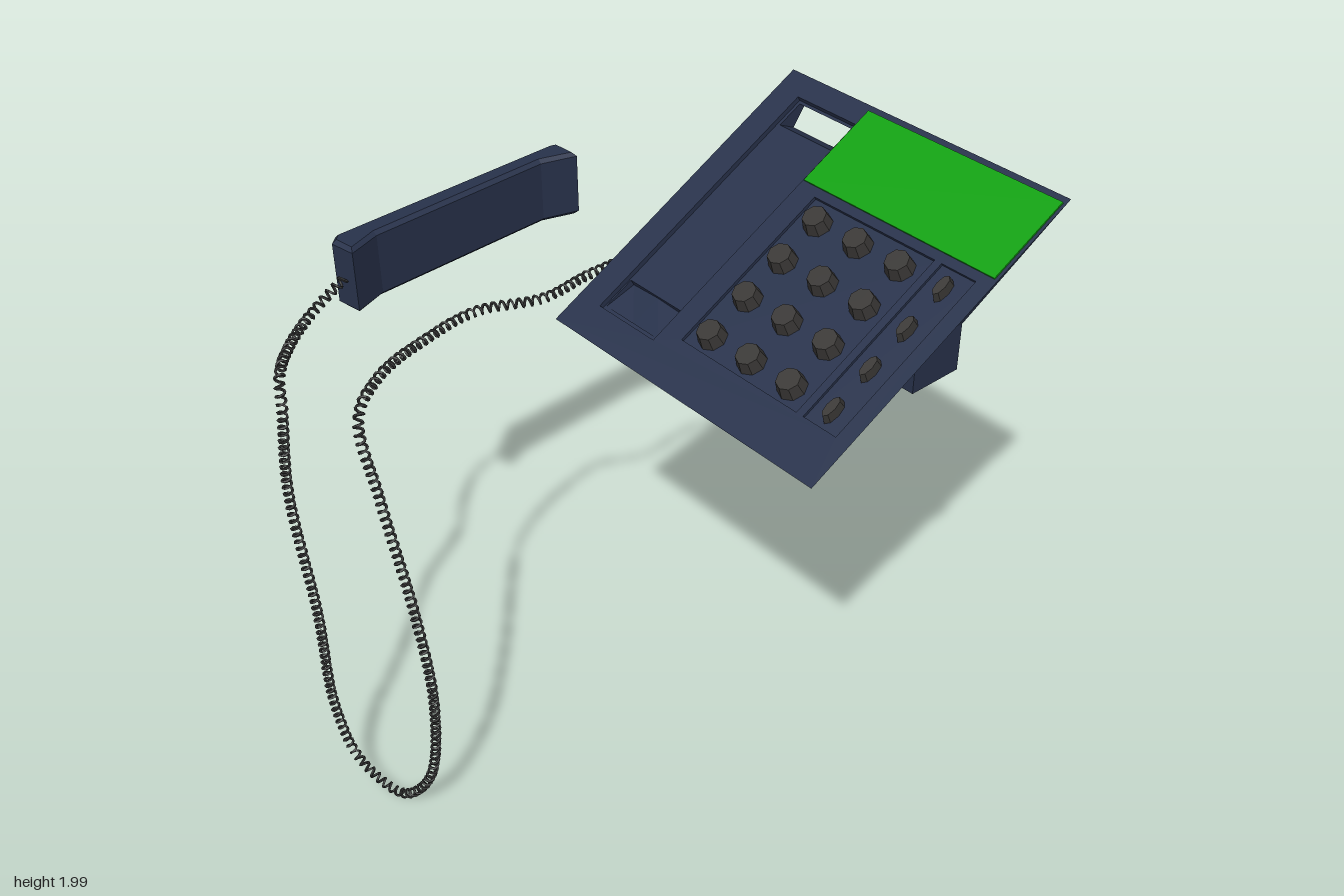
import * as THREE from 'three';

const mat = (color, side = THREE.FrontSide) =>
  new THREE.MeshStandardMaterial({ color, side, flatShading: true });
const body = mat(0x28324b), keyMat = mat(0x3a3836), green = mat(0x10a010);
const cordMat = mat(0x333333);

const TILT = Math.atan2(0.49, 0.927);
const S = Math.sin(TILT), C = Math.cos(TILT);

function add(parent, name, geometry, material = body) {
  const mesh = new THREE.Mesh(geometry, material);
  mesh.name = name;
  parent.add(mesh);
  return mesh;
}

// Rectangle as a ring, counter-clockwise from above; back and front heights may differ
const ring = (u0, u1, v0, v1, yBack, yFront = yBack) => [
  [u0, yFront, v1], [u1, yFront, v1], [u1, yBack, v0], [u0, yBack, v0]];

// Flat quads between two rings, optionally leaving one side open
function loft(a, b, skip = -1) {
  const p = [];
  a.forEach((q, i) => {
    if (i === skip) return;
    const j = (i + 1) % a.length;
    p.push(...q, ...a[j], ...b[j], ...q, ...b[j], ...b[i]);
  });
  const g = new THREE.BufferGeometry();
  g.setAttribute('position', new THREE.Float32BufferAttribute(p, 3));
  g.computeVertexNormals();
  return g;
}

function outline(pts, holes = []) {
  const v2 = (l) => l.map(([x, y]) => new THREE.Vector2(x, y));
  const s = new THREE.Shape(v2(pts));
  s.holes = holes.map((h) => new THREE.Path(v2(h)));
  return s;
}
const rect = ([u0, u1, v0, v1]) => [[u0, -v1], [u1, -v1], [u1, -v0], [u0, -v0]];

// Horizontal sheet with rectangular holes
const sheet = (r, holes = []) =>
  new THREE.ShapeGeometry(outline(rect(r), holes.map(rect))).rotateX(-Math.PI / 2);

// Sunken tray: inward walls plus floor
function tray(parent, name, r, depth, holes = []) {
  add(parent, name + 'Walls', loft(ring(...r, 0), ring(...r, -depth)));
  add(parent, name + 'Floor', sheet(r, holes)).position.y = -depth;
}

function makePhone() {
  const phone = new THREE.Group();
  phone.name = 'phone';
  phone.position.set(0.305, 1.755, -0.175);
  phone.rotation.y = -THREE.MathUtils.degToRad(20);

  const top = new THREE.Group();
  top.name = 'slopedTop';
  top.rotation.x = TILT;
  phone.add(top);

  // Sloped face with the handset cradle, keypad and side-key trays
  const H = 0.525, deep = 0.016;
  const cradle = [-0.435, -0.2, -0.45, 0.42];
  const pad = [-0.125, 0.33, -0.19, 0.375];
  const side = [0.355, 0.475, -0.19, 0.375];
  const slot = [-0.425, -0.21, -0.44, -0.35];
  const well = [-0.43, -0.205, 0.3, 0.405];
  add(top, 'face', sheet([-H, H, -H, H], [cradle, pad, side]));
  tray(top, 'cradle', cradle, deep, [slot, well]);
  tray(top, 'keypadTray', pad, 0.01);
  tray(top, 'sideKeyTray', side, 0.008);

  // Ramped well for the mouthpiece
  const low = ring(...well, -0.038, -deep - 0.001);
  add(top, 'wellWalls', loft(ring(...well, -deep), low));
  const mid = low.map((p) => [-0.3175, -0.027, p[2]]);
  add(top, 'wellRamp', loft(low, mid));

  // Screen
  add(top, 'screen', new THREE.BoxGeometry(0.71, 0.006, 0.285)).position.set(0.16, 0.002, -0.3625);
  top.children[top.children.length - 1].material = green;

  // Round keys and the narrow keys beside them
  const keyGeo = new THREE.CylinderGeometry(0.036, 0.044, 0.04, 8);
  const sideGeo = new THREE.CylinderGeometry(0.036, 0.042, 0.03, 8).scale(0.42, 1, 0.95);
  for (let row = 0; row < 4; row++) {
    const v = -0.125 + row * 0.148;
    for (let col = 0; col < 3; col++) {
      add(top, 'key', keyGeo, keyMat).position.set(-0.055 + col * 0.157, 0.01, v);
    }
    add(top, 'sideKey', sideGeo, keyMat).position.set(0.415, 0.007, v);
  }

  // Underside narrowing to the foot; the back wall carries the slot
  const yF = -H * S, yB = H * S, z = H * C;
  const foot = { w: 0.41, z0: -0.215, z1: -0.035, y: -0.095 };
  add(phone, 'underside', loft(
    ring(-foot.w, foot.w, foot.z0, foot.z1, foot.y), ring(-H, H, -z, z, yB, yF), 2));

  const L = THREE.MathUtils.lerp, t0 = 0.14, t1 = 0.36;
  const backY = (t) => L(yB, foot.y, t), backZ = (t) => L(-z, foot.z0, t);
  const back = new THREE.ShapeGeometry(outline(
    [[-H, 0], [H, 0], [foot.w, 1], [-foot.w, 1]],
    [[[slot[0], t0], [slot[1], t0], [slot[1], t1], [slot[0], t1]]]));
  const pos = back.attributes.position;
  for (let i = 0; i < pos.count; i++) {
    const t = pos.getY(i);
    pos.setXYZ(i, pos.getX(i), backY(t), backZ(t));
  }
  back.computeVertexNormals();
  add(phone, 'backWall', back);

  // Slot tunnel from the cradle floor to the back wall
  const upper = ring(...slot, -deep).map(([x, y, q]) => [x, y * C - q * S, y * S + q * C]);
  const lower = ring(slot[0], slot[1], backZ(t0), backZ(t1), backY(t0), backY(t1));
  add(phone, 'slotTunnel', loft(upper, lower));

  // Foot
  add(phone, 'foot', new THREE.BoxGeometry(0.82, 0.15, 0.18)).position.set(0, -0.17, -0.125);
  return phone;
}

// Handset lying on its side, with both ends jutting towards the phone
function makeHandset(parent) {
  const plan = [[-0.955, 0.285], [-0.94, 0.32], [-0.857, 0.335], [-0.857, 0.22],
    [-0.675, -0.375], [-0.605, -0.472], [-0.695, -0.5], [-0.712, -0.475]];
  const b = 0.012;
  const g = new THREE.ExtrudeGeometry(outline(plan.map(([x, z]) => [x, -z])), {
    depth: 0.215 - 2 * b, bevelThickness: b, bevelSize: b, bevelOffset: -b, bevelSegments: 1,
  }).rotateX(-Math.PI / 2);
  add(parent, 'handset', g).position.y = 1.51 + b;
}

// Coiled cord: a thin tube wound around a hanging path
function makeCord(parent) {
  const path = new THREE.CatmullRomCurve3([
    [-0.9, 1.62, 0.32], [-0.945, 1.55, 0.42], [-0.91, 1.535, 0.58], [-0.83, 1.535, 0.73],
    [-0.815, 1.45, 0.755], [-0.845, 1.15, 0.755], [-0.81, 0.7, 0.755], [-0.8, 0.3, 0.755],
    [-0.73, 0.1, 0.755], [-0.58, 0.025, 0.755], [-0.46, 0.15, 0.755], [-0.4, 0.5, 0.76],
    [-0.43, 0.85, 0.76], [-0.51, 1.25, 0.755], [-0.56, 1.5, 0.74], [-0.59, 1.54, 0.6],
    [-0.59, 1.535, 0.38], [-0.55, 1.53, 0.18], [-0.42, 1.53, 0.03], [-0.37, 1.53, -0.15],
    [-0.31, 1.53, -0.28], [-0.22, 1.53, -0.325], [-0.14, 1.53, -0.41], [-0.1, 1.54, -0.52],
    [0, 1.555, -0.585], [0.15, 1.57, -0.56], [0.26, 1.59, -0.42],
  ].map((p) => new THREE.Vector3(...p)));
  path.arcLengthDivisions = 800;
  const coils = Math.round(path.getLength() / 0.025), n = coils * 10;
  const frames = path.computeFrenetFrames(n);
  const pts = [];
  for (let i = 0; i <= n; i++) {
    const a = (i / 10) * Math.PI * 2;
    pts.push(path.getPointAt(i / n)
      .addScaledVector(frames.normals[i], 0.013 * Math.cos(a))
      .addScaledVector(frames.binormals[i], 0.013 * Math.sin(a)));
  }
  const coil = new THREE.CatmullRomCurve3(pts);
  coil.arcLengthDivisions = n * 2;
  add(parent, 'coiledCord', new THREE.TubeGeometry(coil, n, 0.0045, 4), cordMat);
}

export function createModel() {
  const model = new THREE.Group();
  model.name = 'deskPhone';
  model.add(makePhone());
  makeHandset(model);
  makeCord(model);
  return model;
}
